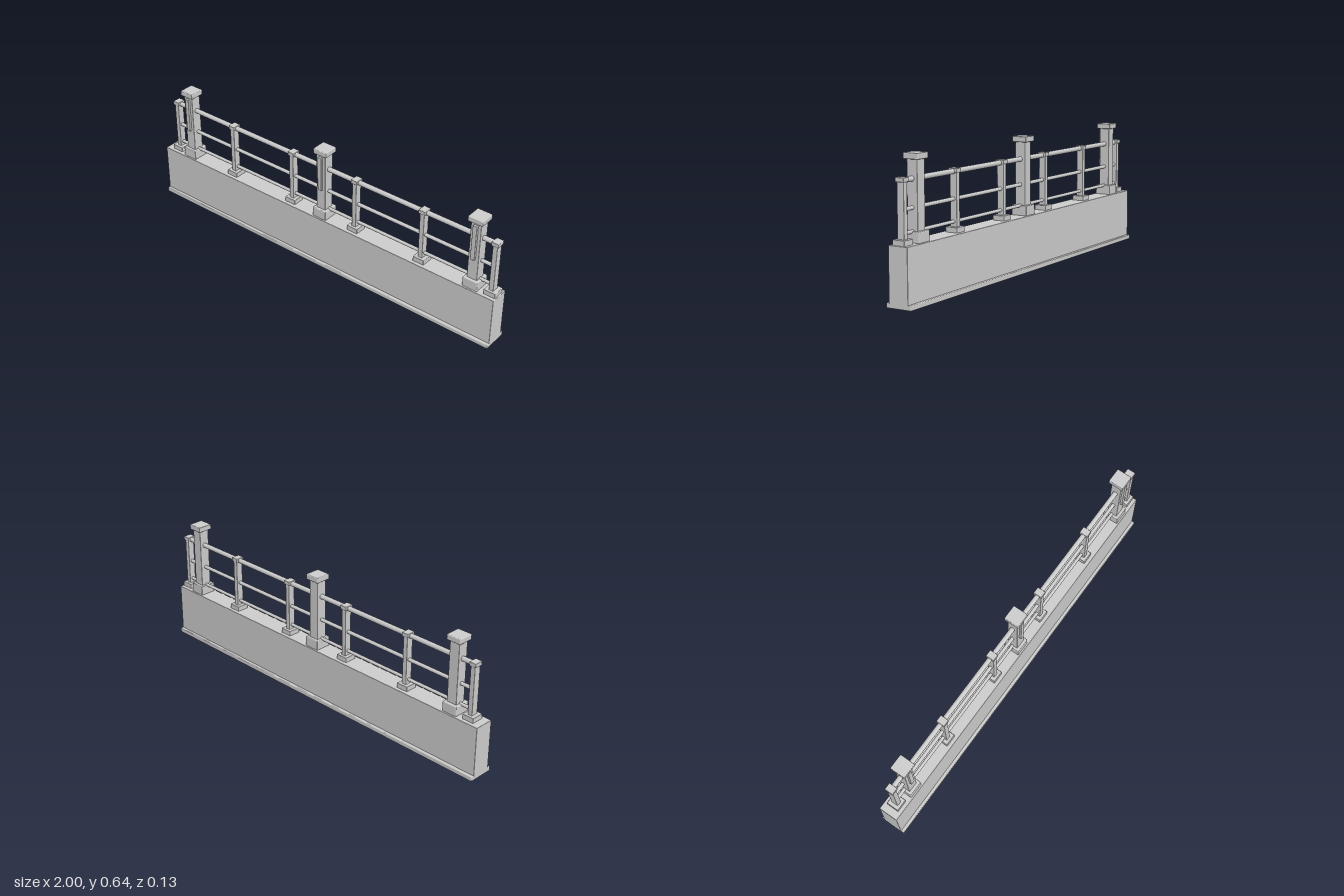
import * as THREE from 'three';
import { RoundedBoxGeometry } from 'three/addons/geometries/RoundedBoxGeometry.js';

const material = new THREE.MeshStandardMaterial({ color: 0xcccccc });

// Softly bevelled box standing on height y0 and reaching y1
function block(name, width, y0, y1, depth, bevel = 0.003, z = 0) {
  const mesh = new THREE.Mesh(new RoundedBoxGeometry(width, y1 - y0, depth, 2, bevel), material);
  mesh.name = name;
  mesh.position.set(0, (y0 + y1) / 2, z);
  return mesh;
}

function assemble(name, x, ...parts) {
  const group = new THREE.Group();
  group.name = name;
  group.position.x = x;
  group.add(...parts);
  return group;
}

// Tall post with footing, cap and a raised strip on the front
function pillar(x) {
  return assemble('pillar', x,
    block('pillarFoot', 0.078, 0.264, 0.314, 0.082, 0.004),
    block('pillarShaft', 0.053, 0.3, 0.62, 0.054),
    block('pillarCap', 0.076, 0.614, 0.641, 0.077, 0.004),
    block('pillarStrip', 0.022, 0.422, 0.602, 0.02, 0.002, 0.028));
}

// Short post carrying the rails
function baluster(x) {
  return assemble('baluster', x,
    block('balusterFoot', 0.06, 0.264, 0.29, 0.062),
    block('balusterShaft', 0.024, 0.28, 0.53, 0.035, 0.002),
    block('balusterCap', 0.036, 0.527, 0.547, 0.044));
}

export function createModel() {
  const model = new THREE.Group();
  model.name = 'parapet';

  // Wall and its projecting plinth
  model.add(
    block('wall', 2, 0.005, 0.266, 0.098),
    block('plinth', 2, 0, 0.023, 0.128, 0.004));

  // Posts
  for (let i = 0; i < 3; i++) model.add(pillar(-0.837 + i * 0.853));
  for (let i = 0; i < 6; i++) model.add(baluster(-0.933 + i * 0.3796));

  // Round rails: [height, radius]
  const x0 = -0.935, x1 = 0.967;
  for (const [y, radius] of [[0.533, 0.012], [0.412, 0.009], [0.312, 0.008]]) {
    const rail = new THREE.Mesh(new THREE.CylinderGeometry(radius, radius, x1 - x0, 16), material);
    rail.name = 'rail';
    rail.rotation.z = Math.PI / 2;
    rail.position.set((x0 + x1) / 2, y, 0);
    model.add(rail);
  }
  return model;
}
